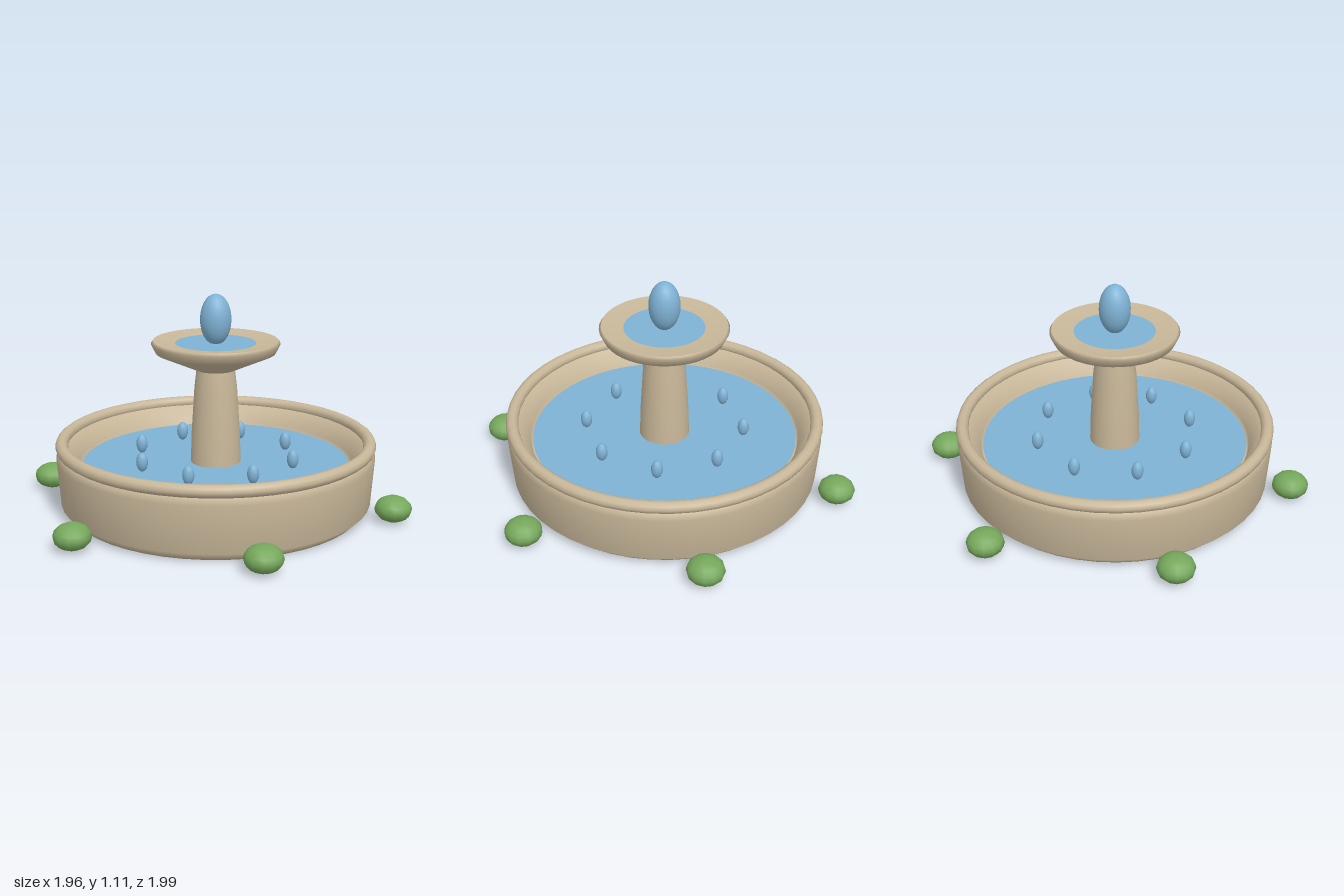
import * as THREE from 'three';

const material = (name, color) => {
  const m = new THREE.MeshStandardMaterial({ color });
  m.name = name;
  return m;
};

export function createModel() {
  const fountain = new THREE.Group();
  fountain.name = 'fountain';
  const stone = material('stone', 0xc8b799);
  const water = material('water', 0x7fb2d4);
  const leaf = material('leaf green', 0x76a85c);

  const add = (name, geometry, mat, x = 0, y = 0, z = 0) => {
    const mesh = new THREE.Mesh(geometry, mat);
    mesh.name = name;
    mesh.position.set(x, y, z);
    fountain.add(mesh);
    return mesh;
  };
  const lathe = (points, segments) =>
    new THREE.LatheGeometry(points.map(([r, y]) => new THREE.Vector2(r, y)), segments);
  const ellipsoid = (r, h, w, v) => new THREE.SphereGeometry(r, w, v).scale(1, h / r, 1);
  const disc = (r) => new THREE.CircleGeometry(r, 48).rotateX(-Math.PI / 2);

  // Lower basin: base, outer wall, sloping inner wall and floor
  add('basin', lathe([
    [0, 0], [0.755, 0], [0.8, 0.045], [0.818, 0.285], [0.795, 0.32],
    [0.755, 0.335], [0.7, 0.25], [0.69, 0.2], [0, 0.2],
  ], 48), stone);
  add('basinRim', new THREE.TorusGeometry(0.789, 0.032, 10, 48).rotateX(Math.PI / 2),
    stone, 0, 0.346, 0);
  add('basinWater', disc(0.688), water, 0, 0.238, 0);

  // Pedestal and upper bowl
  add('pedestal', lathe([[0.13, 0.2], [0.125, 0.38], [0.109, 0.63], [0.096, 0.74]], 24), stone);
  add('upperBowlOutside', lathe([
    [0, 0.724], [0.1, 0.724], [0.305, 0.815], [0.327, 0.86], [0.317, 0.874],
  ], 40), stone);
  add('upperBowlInside', lathe([[0.317, 0.874], [0.2, 0.858], [0, 0.85]], 40), stone);
  add('upperBowlWater', disc(0.205), water, 0, 0.861, 0);

  // Central jet and ring of droplets
  add('waterJet', ellipsoid(0.08, 0.13, 20, 14), water, 0, 0.98, 0);
  for (let i = 0; i < 8; i++) {
    const a = (i * Math.PI) / 4;
    add('droplet', ellipsoid(0.03, 0.05, 12, 8), water,
      0.412 * Math.cos(a), 0.288, 0.412 * Math.sin(a));
  }

  // Bushes around the base
  for (let i = 0; i < 6; i++) {
    const a = -0.3 + (i * Math.PI) / 3;
    add('bush', ellipsoid(0.094, 0.066, 12, 8), leaf,
      0.926 * Math.cos(a), 0.07, 0.926 * Math.sin(a));
  }
  return fountain;
}
